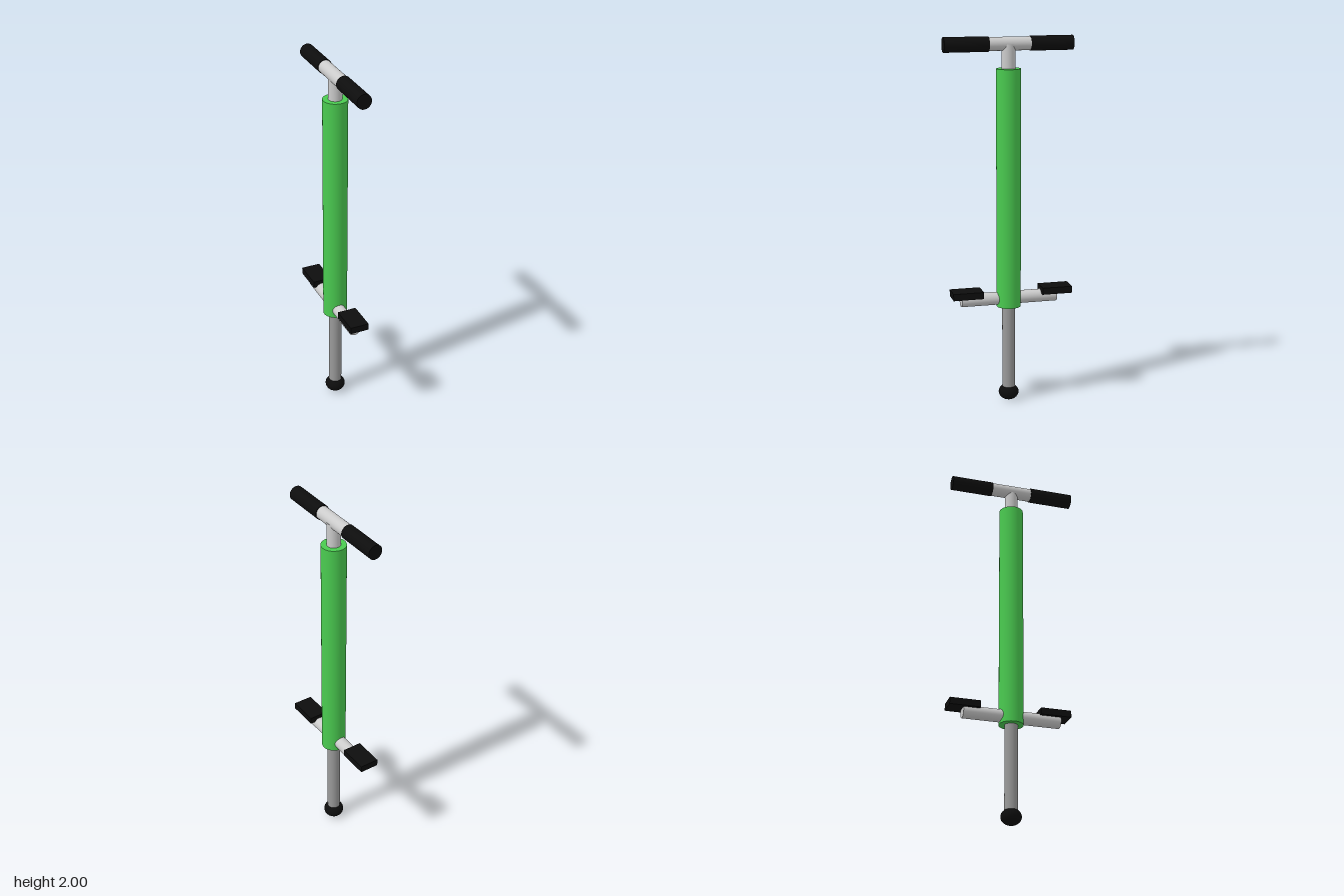
import * as THREE from 'three';

const material = (color) => new THREE.MeshStandardMaterial({ color });

export function createModel() {
  const model = new THREE.Group();
  const green = material(0x4acb50);
  const black = material(0x0d0d0d);
  const steel = material(0xcccccc);
  const darkSteel = material(0x9a9a9a);

  const add = (name, geometry, mat, x, y, z) => {
    const mesh = new THREE.Mesh(geometry, mat);
    mesh.name = name;
    mesh.position.set(x, y, z);
    model.add(mesh);
    return mesh;
  };

  // Upright cylinder between two heights
  const upright = (name, r, y0, y1, mat) =>
    add(name, new THREE.CylinderGeometry(r, r, y1 - y0, 40), mat, 0, (y0 + y1) / 2, 0);

  // Horizontal cylinder running front to back
  const crosswise = (name, r, y, z0, z1, mat) => {
    const geometry = new THREE.CylinderGeometry(r, r, z1 - z0, 40).rotateX(Math.PI / 2);
    return add(name, geometry, mat, -0.004, y, (z0 + z1) / 2);
  };

  // Squashed rubber foot
  add('rubberFoot', new THREE.SphereGeometry(0.055, 40, 24).scale(1, 0.8, 1), black, 0, 0.044, 0);

  // Plunger, sleeve and neck
  upright('plunger', 0.035, 0.05, 0.56, darkSteel);
  upright('sleeve', 0.066, 0.54, 1.832, green);
  upright('neck', 0.036, 1.8, 1.96, steel);

  // Handlebar with grips
  crosswise('handlebar', 0.036, 1.961, -0.33, 0.33, steel);
  crosswise('frontGrip', 0.04, 1.961, 0.108, 0.348, black);
  crosswise('backGrip', 0.039, 1.961, -0.349, -0.117, black);

  // Foot peg rod and the two pedals, set slightly off centre
  crosswise('footPeg', 0.035, 0.585, -0.267, 0.265, steel);
  const pedal = new THREE.BoxGeometry(0.105, 0.037, 0.167);
  add('frontPedal', pedal, black, 0.001, 0.621, 0.233);
  add('backPedal', pedal, black, 0.001, 0.621, -0.262);

  return model;
}
